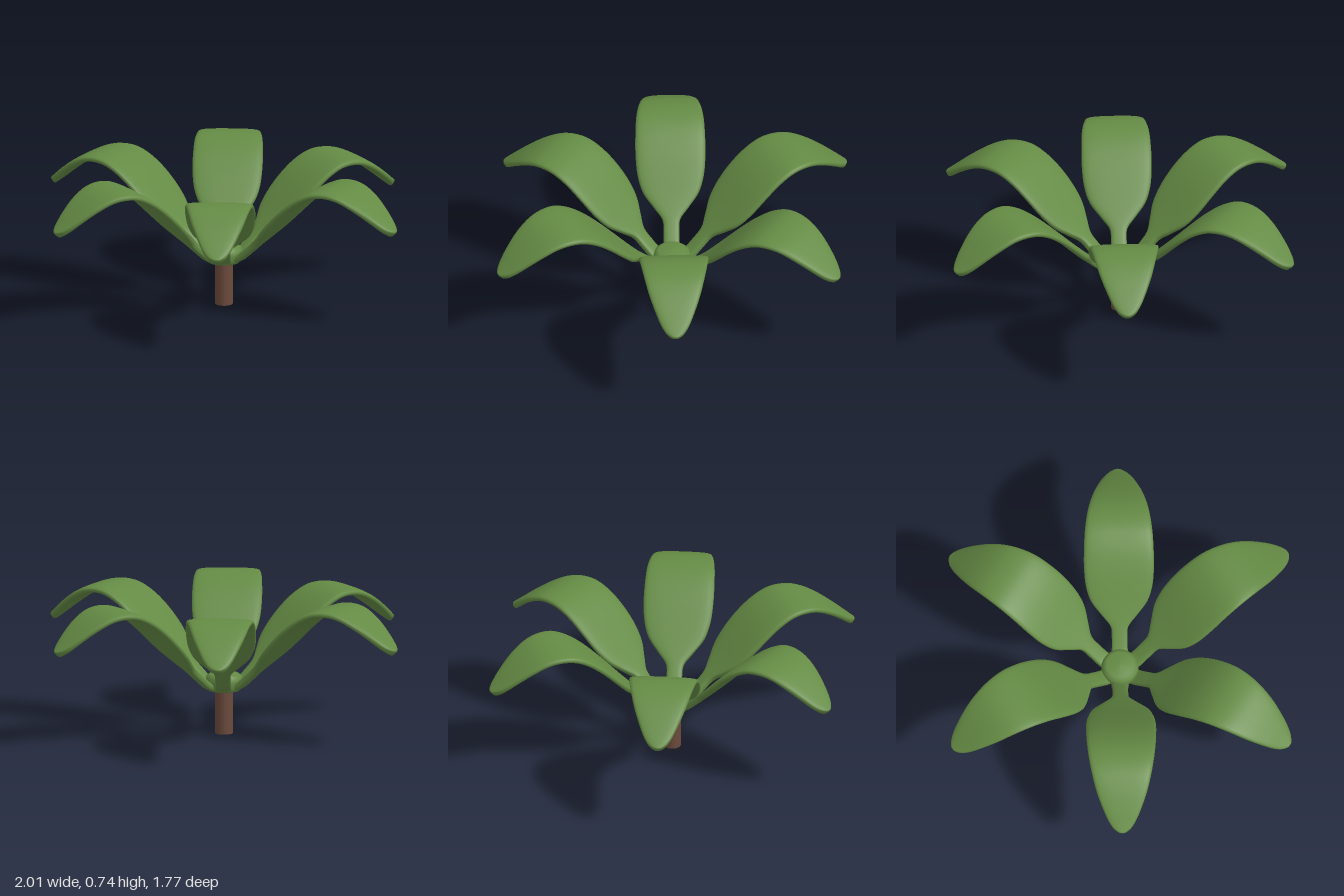
import * as THREE from 'three';

const green = new THREE.MeshStandardMaterial({ color: 0x648a44 });
green.name = 'leafGreen';
const brown = new THREE.MeshStandardMaterial({ color: 0x6b4a3c });
brown.name = 'stemBrown';

// Leaf stations: distance from the axis, height, half width
const stations = [
  [0.05, 0.245, 0.042], [0.09, 0.255, 0.042], [0.15, 0.305, 0.041], [0.2, 0.352, 0.046],
  [0.245, 0.395, 0.09], [0.3, 0.45, 0.145], [0.36, 0.513, 0.172], [0.44, 0.592, 0.182],
  [0.52, 0.655, 0.181], [0.6, 0.694, 0.176], [0.67, 0.702, 0.167], [0.74, 0.69, 0.154],
  [0.82, 0.65, 0.132], [0.9, 0.592, 0.098], [0.95, 0.55, 0.07], [0.98, 0.525, 0.044],
  [0.995, 0.513, 0.018], [0.998, 0.51, 0.001],
];

// Sweep a flat, round-edged section along the arching midrib
function leafGeometry() {
  const curve = new THREE.CatmullRomCurve3(stations.map((s) => new THREE.Vector3(...s)));
  const rows = 68, sides = 24;
  const soft = (v, p) => Math.sign(v) * Math.abs(v) ** p;
  const positions = [], indices = [];
  for (let i = 0; i <= rows; i++) {
    const u = i / rows;
    const p = curve.getPoint(u);
    const t = curve.getTangent(u);
    const len = Math.hypot(t.x, t.y) || 1;
    const nx = -t.y / len, ny = t.x / len;
    const w = Math.max(p.z, 0.001);
    const thick = Math.min(0.019, w);
    for (let j = 0; j < sides; j++) {
      const a = (j / sides) * Math.PI * 2;
      const across = w * soft(Math.cos(a), 0.75);
      const up = thick * soft(Math.sin(a), 0.5);
      positions.push(p.x + nx * up, p.y + ny * up, across);
      if (i < rows) {
        const k = (j + 1) % sides;
        const A = i * sides + j, B = A + sides, C = (i + 1) * sides + k, D = i * sides + k;
        indices.push(A, B, C, A, C, D);
      }
    }
  }
  const g = new THREE.BufferGeometry();
  g.setAttribute('position', new THREE.Float32BufferAttribute(positions, 3));
  g.setIndex(indices);
  g.computeVertexNormals();
  return g;
}

export function createModel() {
  const model = new THREE.Group();
  model.name = 'leafyPlant';

  // Woody stem
  const stem = new THREE.Mesh(new THREE.CylinderGeometry(0.046, 0.046, 0.24, 20), brown);
  stem.name = 'stem';
  stem.position.y = 0.12;
  model.add(stem);

  // Hub joining the leaves
  const profile = [[0, 0.227], [0.08, 0.227], [0.094, 0.245], [0.097, 0.28], [0.09, 0.306], [0.07, 0.319], [0, 0.325]];
  const hub = new THREE.Mesh(
    new THREE.LatheGeometry(profile.map(([x, y]) => new THREE.Vector2(x, y)), 28), green);
  hub.name = 'hub';
  model.add(hub);

  // Six leaves, the diagonal ones slightly longer
  const geometry = leafGeometry();
  for (const degrees of [0, 58.7, 121.3, 180, 238.7, 301.3]) {
    const leaf = new THREE.Mesh(geometry, green);
    leaf.name = 'leaf';
    leaf.rotation.y = THREE.MathUtils.degToRad(degrees);
    if (degrees % 180 !== 0) leaf.scale.set(1.02, 1.02, 1);
    model.add(leaf);
  }
  return model;
}
